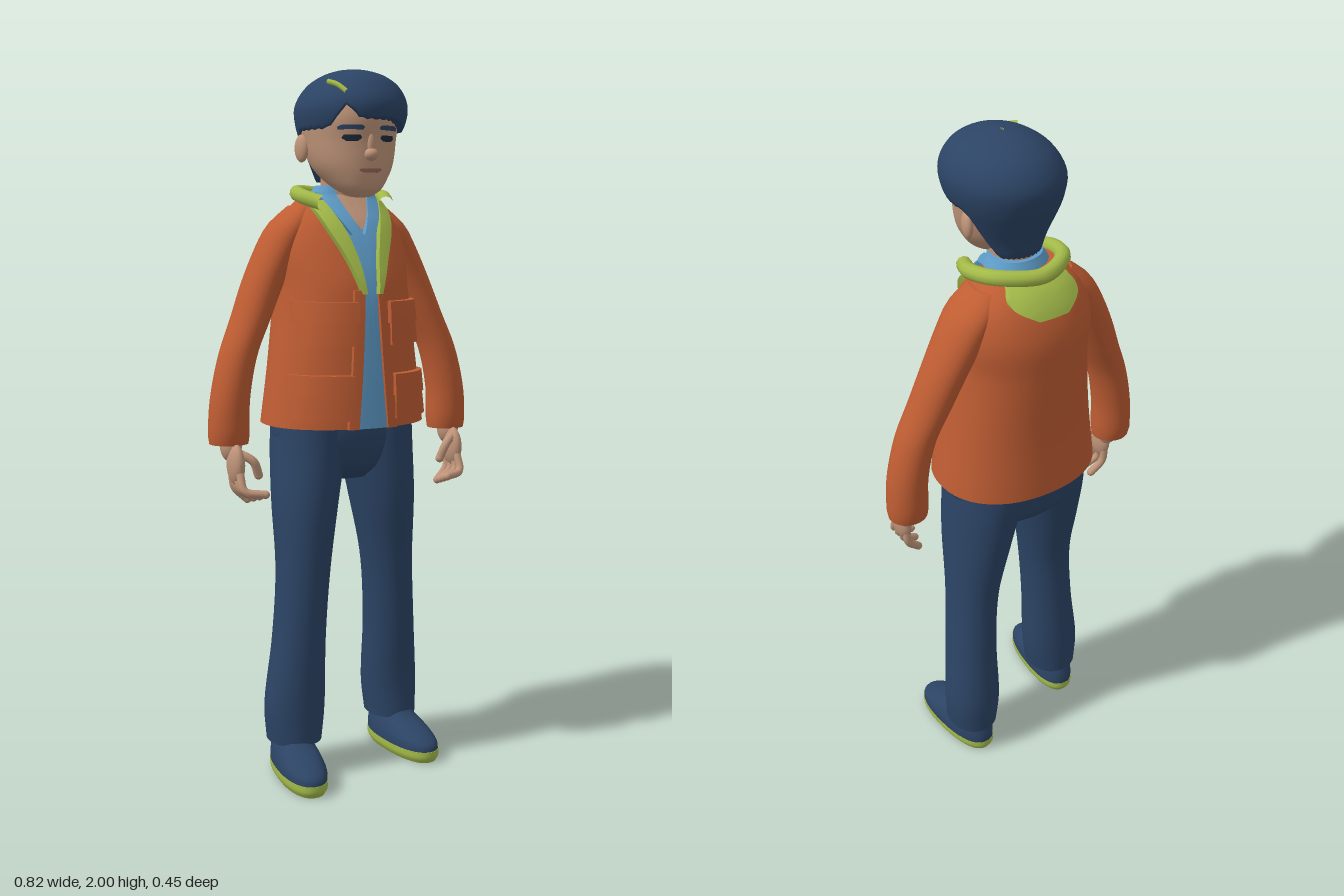
import * as THREE from 'three';
import { toCreasedNormals } from 'three/addons/utils/BufferGeometryUtils.js';

const mat = (name, color) => Object.assign(new THREE.MeshStandardMaterial({ color }), { name });
const V = (x, y, z) => new THREE.Vector3(x, y, z);

// Profile rows are [y, centreX, centreZ, radiusX, radiusZ], y ascending; cubic blend between them
function at(P, y) {
  const n = P.length - 1;
  y = Math.min(Math.max(y, P[0][0]), P[n][0]);
  let i = 0;
  while (i < n - 1 && y > P[i + 1][0]) i++;
  const slope = (k, c) => {
    const a = P[Math.max(k - 1, 0)], b = P[Math.min(k + 1, n)];
    return (b[c] - a[c]) / (b[0] - a[0]);
  };
  const h = P[i + 1][0] - P[i][0], t = (y - P[i][0]) / h, t2 = t * t, t3 = t2 * t;
  return [0, 1, 2, 3, 4].map(c => (2 * t3 - 3 * t2 + 1) * P[i][c] + (t3 - 2 * t2 + t) * h * slope(i, c)
    + (3 * t2 - 2 * t3) * P[i + 1][c] + (t3 - t2) * h * slope(i + 1, c));
}
// The same rows given as [y, radiusX, zBack, zFront, centreX]
const fromZ = rows => rows.map(([y, rx, b, f, cx = 0]) => [y, cx, (b + f) / 2, rx, (f - b) / 2]);

function ringPoint(P, y, a, p, k = 1) {
  const [, cx, cz, rx, rz] = at(P, y);
  const pw = v => Math.sign(v) * Math.pow(Math.abs(v), 2 / p);
  return V(cx + k * Math.max(rx, 0) * pw(Math.sin(a)), y, cz + k * Math.max(rz, 0) * pw(Math.cos(a)));
}

// Surface from a rows x cols rule
function grid(rows, cols, wrap, fn) {
  const pos = [], idx = [];
  for (let i = 0; i < rows; i++) for (let j = 0; j < cols; j++) pos.push(...fn(i, j).toArray());
  for (let i = 0; i < rows - 1; i++) for (let j = 0; j < (wrap ? cols : cols - 1); j++) {
    const a = i * cols + j, b = i * cols + (j + 1) % cols;
    idx.push(a, b, b + cols, a, b + cols, a + cols);
  }
  const g = new THREE.BufferGeometry();
  g.setAttribute('position', new THREE.Float32BufferAttribute(pos, 3));
  g.setIndex(idx);
  g.computeVertexNormals();
  return g;
}

// Closed body through horizontal rings, with sharp-edged caps
function loft(P, p = 2, n = 28, seg = 40) {
  const y0 = P[0][0], y1 = P[P.length - 1][0];
  return grid(n + 5, seg, true, (i, j) => {
    const t = Math.min(Math.max((i - 2) / n, 0), 1);
    return ringPoint(P, y0 + (y1 - y0) * t, j / seg * Math.PI * 2, p, i === 0 || i === n + 4 ? 0 : 1);
  });
}

// Raised plate lying on a lofted body; rows are [y, xMin, xMax], side 1 front or -1 back
function plate(P, rows, off, side = 1, p = 2, inset = -0.006) {
  const n = 12, m = 10;
  const R = rows.map(r => [r[0], r[1], r[2], 0, 0]);
  const g = grid(n + 3, m + 3, false, (i, j) => {
    const v = Math.min(Math.max((i - 1) / n, 0), 1), u = Math.min(Math.max((j - 1) / m, 0), 1);
    const y = rows[0][0] + (rows[rows.length - 1][0] - rows[0][0]) * v;
    const [, a, b] = at(R, y), [, cx, cz, rx, rz] = at(P, y);
    const x = side > 0 ? a + (b - a) * u : b + (a - b) * u;
    const q = Math.min(Math.abs((x - cx) / rx), 0.97);
    const edge = i === 0 || j === 0 || i === n + 2 || j === m + 2;
    return V(x, y, cz + side * (rz * Math.pow(1 - Math.pow(q, p), 1 / p) + (edge ? inset : off)));
  });
  return toCreasedNormals(g, 0.7);
}

export function createModel() {
  const model = new THREE.Group();
  model.name = 'boyInJacket';
  const skin = mat('skin', 0xc0957a), navy = mat('navy', 0x2c4465), orange = mat('orange', 0xbf5d33);
  const green = mat('green', 0xa3ba49), blue = mat('shirtBlue', 0x5f9dca), lip = mat('lips', 0x9c6555);
  const dark = mat('eyeDark', 0x1d2938);
  const add = (name, geo, m, parent = model) => {
    const o = new THREE.Mesh(geo, m);
    o.name = name;
    parent.add(o);
    return o;
  };
  const ball = (name, m, c, r) => {
    const o = add(name, new THREE.SphereGeometry(1, 20, 14), m);
    o.position.set(...c);
    o.scale.set(...r);
    return o;
  };
  const tube = (name, m, pts, r, seg = 12) =>
    add(name, new THREE.TubeGeometry(new THREE.CatmullRomCurve3(pts.map(q => V(...q))), seg, r, 10), m);

  // Jacket body
  const torso = fromZ([[1.02, .238, -.22, .165], [1.2, .213, -.215, .16], [1.4, .19, -.222, .147],
    [1.5, .192, -.223, .115], [1.58, .172, -.2, .078], [1.63, .135, -.168, .042], [1.66, .1, -.13, .02]]);
  const tp = 2.2;
  add('jacketBody', loft(torso, tp, 36, 48), orange);

  // Shirt showing through the open jacket
  add('shirtFront', plate(torso, [[1.02, -.05, .045], [1.2, -.035, .03], [1.4, -.022, .022], [1.52, -.05, .05],
    [1.62, -.08, .08]], .004, 1, tp), blue);
  add('shirtYoke', loft(fromZ([[1.6, .1, -.12, .05], [1.65, .094, -.115, .035], [1.685, .075, -.1, .03]])), blue);
  add('throat', plate(torso, [[1.565, -.004, .004], [1.61, -.03, .03], [1.66, -.05, .05]], .014, 1, tp), skin);

  for (const s of [-1, 1]) {
    const side = s < 0 ? 'right' : 'left';
    // Mirrors plate rows given for the +x side
    const mir = rows => s > 0 ? rows : rows.map(([y, a, b]) => [y, -b, -a]);
    const patch = (name, rows, off, m) => add(side + name, plate(torso, mir(rows), off, 1, tp), m);
    patch('ShirtCollar', [[1.55, .002, .035], [1.61, .03, .07], [1.665, .05, .09]], .02, blue);
    patch('Placket', [[1.02, .045, .075], [1.2, .031, .06], [1.4, .02, .05]], .012, orange);
    patch('Lapel', [[1.39, .018, .028], [1.48, .03, .06], [1.56, .052, .095], [1.61, .072, .112],
      [1.645, .085, .118]], .024, green);

    // Pockets with overhanging flaps
    patch('ChestPocket', [[1.25, .055, .18], [1.34, .055, .18]], .022, orange);
    patch('ChestFlap', [[1.31, .048, .187], [1.37, .048, .187]], .032, orange);
    patch('HipPocket', [[1.045, .07, .205], [1.13, .07, .205]], .018, orange);
    patch('HipFlap', [[1.11, .063, .21], [1.17, .063, .208]], .028, orange);

    // Sleeve
    add(side + 'Sleeve', loft([[.975, .35, -.03, .055, .052], [1, .35, -.03, .058, .058], [1.1, .345, -.03, .055, .061],
      [1.22, .318, -.035, .053, .062], [1.32, .275, -.045, .055, .066], [1.42, .232, -.055, .058, .071],
      [1.52, .182, -.06, .06, .078], [1.58, .147, -.06, .057, .077], [1.63, .11, -.06, .035, .055]]
      .map(([y, x, ...r]) => [y, s * x, ...r])), orange);

    // Hand with curled fingers
    ball(side + 'Wrist', skin, [s * .35, .97, -.015], [.03, .045, .035]);
    ball(side + 'Palm', skin, [s * .348, .922, .015], [.022, .058, .043]);
    for (let i = 0; i < 4; i++) {
      const tip = [s * (.308 - .006 * i), .818 + .009 * i, -.002 + .03 * i];
      tube(side + 'Finger', skin, [[s * .348, .9, -.012 + .019 * i], [s * .343, .855, -.01 + .026 * i], tip], .0115);
      ball(side + 'Fingertip', skin, tip, [.0115, .0115, .0115]);
    }
    const thumb = [s * .291, .892, .04];
    tube(side + 'Thumb', skin, [[s * .343, .955, .025], [s * .308, .932, .045], thumb], .0125);
    ball(side + 'Thumbtip', skin, thumb, [.0125, .0125, .0125]);
    ball(side + 'Ear', skin, [s * .129, 1.785, -.015], [.014, .038, .026]).rotation.y = s * -.25;
  }

  // Collar folded around the neck
  tube('collar', green, [[-.098, 1.635, .055], [-.125, 1.655, -.02], [-.1, 1.668, -.105], [0, 1.665, -.155],
    [.1, 1.668, -.105], [.125, 1.655, -.02], [.098, 1.635, .055]], .021, 48);
  add('collarBack', plate(torso, [[1.575, -.045, .045], [1.61, -.1, .1], [1.655, -.085, .085]], .014, -1, tp), green);

  // Trousers: hips and two legs, the right one stepping forward
  add('hips', loft(fromZ([[.86, .07, -.1, .05], [.9, .16, -.16, .09], [.97, .205, -.177, .112],
    [1.05, .206, -.18, .115]]), 2.2), navy);
  add('rightLeg', loft([[.1, -.175, .01, .078, .086], [.2, -.173, .01, .087, .086], [.4, -.16, .015, .075, .085],
    [.6, -.146, .015, .075, .09], [.8, -.13, -.005, .09, .118], [.95, -.11, -.028, .1, .138],
    [1.05, -.103, -.03, .1, .143]], 2.1), navy);
  add('leftLeg', loft([[.1, .182, -.065, .074, .086], [.2, .18, -.07, .082, .086], [.4, .168, -.05, .073, .086],
    [.6, .15, -.033, .072, .094], [.8, .126, -.025, .088, .127], [.95, .108, -.03, .099, .142],
    [1.05, .102, -.03, .1, .143]], 2.1), navy);

  // Shoes
  for (const [name, x, z, turn] of [['rightShoe', -.19, .072, -.1], ['leftShoe', .188, .006, .1]]) {
    const shoe = new THREE.Group();
    shoe.name = name;
    shoe.position.set(x, 0, z);
    shoe.rotation.y = turn;
    model.add(shoe);
    add('sole', loft(fromZ([[0, .057, -.145, .15], [.015, .065, -.153, .158], [.035, .066, -.153, .158]]), 2.3, 8), green, shoe);
    add('upper', loft(fromZ([[.03, .065, -.152, .157], [.055, .064, -.152, .148], [.08, .058, -.148, .1],
      [.105, .05, -.142, .03], [.14, .046, -.135, -.01]]), 2.3, 16), navy, shoe);
  }

  // Neck and head
  add('neck', loft(fromZ([[1.6, .068, -.1, .03], [1.66, .06, -.09, .04], [1.75, .065, -.09, .06]])), skin);
  const head = fromZ([[1.652, .022, .065, .118], [1.668, .055, .02, .138], [1.7, .085, -.04, .148],
    [1.74, .11, -.085, .152], [1.8, .125, -.12, .153], [1.87, .13, -.14, .158], [1.93, .105, -.11, .13],
    [1.965, .05, -.05, .06]]);
  add('head', loft(head, 2.15, 36, 48), skin);
  ball('nose', skin, [0, 1.764, .152], [.02, .017, .02]);
  ball('noseBridge', skin, [0, 1.79, .148], [.012, .034, .012]);
  const feature = (name, rows, m, off = .003) => add(name, plate(head, rows, off, 1, 2.15, -.002), m);
  feature('mouth', [[1.716, -.02, .02], [1.722, -.033, .033], [1.727, -.03, .03]], lip);
  for (const s of [-1, 1]) {
    const span = (y, c, w) => [y, s * c - w, s * c + w];
    feature('eye', [span(1.799, .053, .014), span(1.807, .053, .024), span(1.815, .053, .02)], dark);
    feature('eyebrow', [span(1.829, .057, .03), span(1.836, .056, .032), span(1.841, .055, .024)], navy, .005);
  }

  // Hair: a cap whose lower edge follows fringe, parting, ears and nape
  const hair = fromZ([[1.69, .072, -.1, .04, .003], [1.74, .1, -.112, .1, .004], [1.81, .132, -.145, .15, .006],
    [1.85, .147, -.16, .177, .008], [1.9, .15, -.168, .185, .01], [1.95, .125, -.14, .155, .014],
    [1.98, .085, -.095, .112, .014], [1.995, .042, -.045, .06, .013], [2, .004, -.002, .012, .012]]);
  const ss = THREE.MathUtils.smoothstep, n = 26, seg = 72;
  const hairGeo = grid(n + 2, seg, true, (i, j) => {
    const a = j / seg * Math.PI * 2, d = THREE.MathUtils.radToDeg(a > Math.PI ? a - Math.PI * 2 : a);
    const e = Math.abs(d);
    const low = 1.855 - .025 * ss(e, 15, 60) - .135 * ss(e, 98, 125) + .045 * Math.exp(-(((d + 35) / 11) ** 2))
      + (j % 2) * .004;
    const y = low + (2 - low) * Math.sin(Math.max(i - 1, 0) / n * Math.PI / 2);
    return ringPoint(hair, y, a, 2.05, i === 0 ? .78 : 1);
  });
  add('hair', hairGeo, navy);
  tube('hairClip', green, [[-.103, 1.955, .1], [-.09, 1.945, .13], [-.076, 1.925, .158]], .007);

  return model;
}
